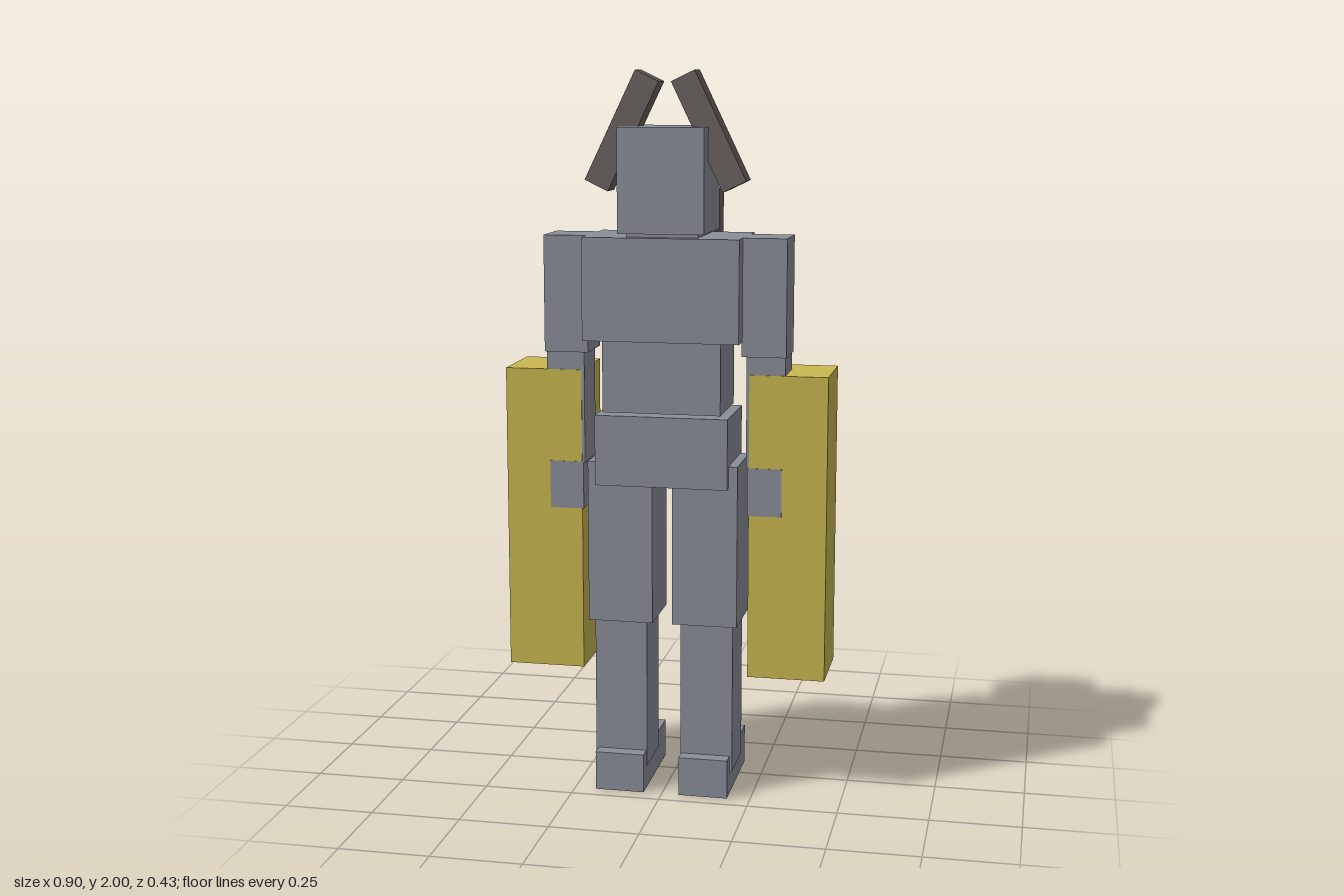
import * as THREE from 'three';

const mat = (name, color) => {
  const m = new THREE.MeshStandardMaterial({ color });
  m.name = name;
  return m;
};

export function createModel() {
  const grey = mat('steel grey', 0x8b8f9a);
  const brown = mat('dark brown', 0x6a635f);
  const yellow = mat('mustard yellow', 0xc9b84f);

  const model = new THREE.Group();
  model.name = 'blockRobot';

  // Box from its minimum and maximum extents on each axis
  const block = (parent, name, material, [x0, x1], [y0, y1], [z0, z1]) => {
    const mesh = new THREE.Mesh(new THREE.BoxGeometry(x1 - x0, y1 - y0, z1 - z0), material);
    mesh.position.set((x0 + x1) / 2, (y0 + y1) / 2, (z0 + z1) / 2);
    mesh.name = name;
    parent.add(mesh);
    return mesh;
  };

  // Figure is a hair off centre
  const body = new THREE.Group();
  body.name = 'body';
  body.position.x = -0.002;
  model.add(body);

  // Head and torso
  block(body, 'head', grey, [-0.118, 0.118], [1.57, 1.852], [-0.03, 0.205]);
  block(body, 'neck', grey, [-0.098, 0.098], [1.54, 1.572], [-0.01, 0.185]);
  block(body, 'chest', grey, [-0.215, 0.215], [1.28, 1.56], [-0.04, 0.214]);
  block(body, 'abdomen', grey, [-0.163, 0.163], [1.083, 1.282], [-0.017, 0.198]);
  block(body, 'pelvis', grey, [-0.184, 0.184], [0.88, 1.075], [-0.03, 0.205]);
  block(body, 'backpack', brown, [-0.097, 0.097], [1.475, 1.67], [-0.215, -0.022]);

  // Mirrored limbs, shields and horns
  for (const s of [1, -1]) {
    const side = new THREE.Group();
    side.name = s > 0 ? 'leftSide' : 'rightSide';
    body.add(side);
    const part = (name, material, [a, b], y, z) =>
      block(side, name, material, s > 0 ? [a, b] : [-b, -a], y, z);

    part('upperArm', grey, [0.213, 0.335], [1.24, 1.56], [0.018, 0.157]);
    part('forearm', grey, [0.226, 0.332], [0.93, 1.24], [0.026, 0.148]);
    part('hand', grey, [0.23, 0.325], [0.8, 0.933], [0.03, 0.151]);
    part('shield', yellow, [0.234, 0.449], [0.34, 1.19], [-0.065, 0.15]);

    part('thigh', grey, [0.028, 0.209], [0.49, 0.942], [-0.01, 0.186]);
    part('shin', grey, [0.048, 0.195], [0.065, 0.492], [0.01, 0.167]);
    part('foot', grey, [0.05, 0.188], [0, 0.11], [-0.097, 0.206]);

    // Horn leaning in towards the top
    const horn = part('horn', brown, [0.0835, 0.1545], [1.678, 2.002], [0.07, 0.145]);
    horn.rotation.z = s * THREE.MathUtils.degToRad(25.7);
  }

  return model;
}
